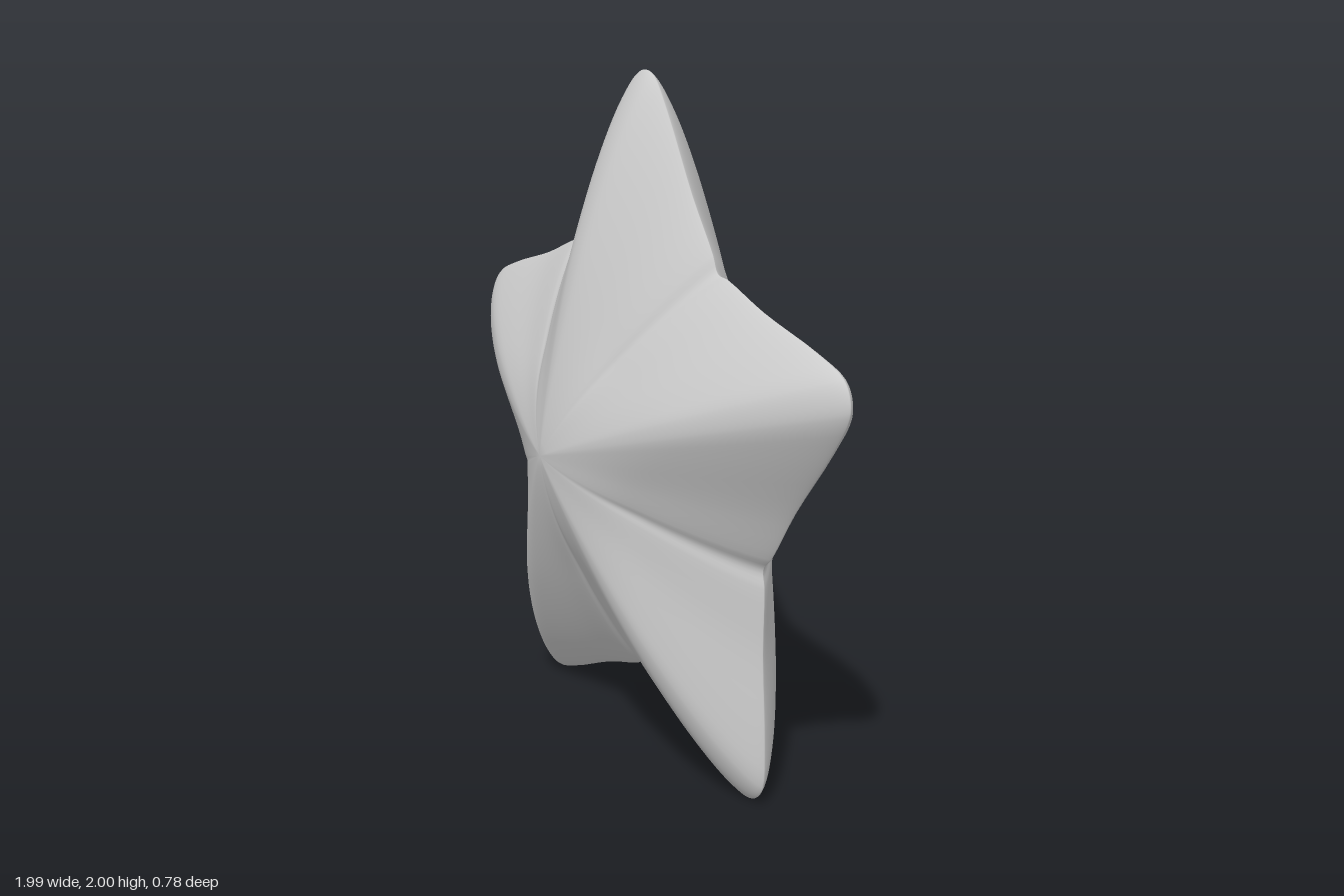
import * as THREE from 'three';
import { mergeVertices } from 'three/addons/utils/BufferGeometryUtils.js';

const ARMS = 5, COLUMNS = 200, ROWS = 72, HALF_DEPTH = 0.35, CORE_RADIUS = 0.9;

// Rounded star outline, counter-clockwise, starting at the upper arm.
// Each arm is given as [along the arm, to its side] and mirrored.
function starOutline() {
  const half = [[0.562, 0.408], [0.61, 0.382], [0.76, 0.27], [0.98, 0.13], [1.08, 0.05], [1.095, 0]];
  const arm = [
    ...half.map(([a, s]) => [a, -s]),
    ...half.slice(1, -1).reverse(),
  ];
  const points = [];
  for (let k = 0; k < ARMS; k++) {
    const angle = Math.PI / 2 + (k * 2 * Math.PI) / ARMS;
    const c = Math.cos(angle), s = Math.sin(angle);
    for (const [a, b] of arm) points.push(new THREE.Vector3(a * c - b * s, a * s + b * c, 0));
  }
  return new THREE.CatmullRomCurve3(points, true, 'centripetal').getPoints(COLUMNS);
}

// Sphere grid reshaped into a puffy star: rows run front centre -> rim -> back centre.
function puffyStar() {
  const outline = starOutline();
  const geometry = new THREE.SphereGeometry(1, COLUMNS, ROWS);
  const position = geometry.attributes.position;
  for (let i = 0; i < position.count; i++) {
    const column = i % (COLUMNS + 1), row = Math.floor(i / (COLUMNS + 1));
    const p = outline[column % COLUMNS];
    const radius = p.length();
    const t = row === 0 || row === ROWS ? 0 : Math.sin((row / ROWS) * Math.PI);
    // star sections soften towards a circle near the centre
    const star = 0.35 + 0.65 * THREE.MathUtils.smoothstep(t, 0, 0.55);
    const r = t * THREE.MathUtils.lerp(CORE_RADIUS, radius, star);
    // arms are fuller at the rim than the valleys between them
    const valley = THREE.MathUtils.clamp((1.095 - radius) / 0.4, 0, 1);
    const power = 0.77 + 0.1 * valley;
    const z = HALF_DEPTH * Math.pow(Math.max(0, 1 - Math.pow(t, 1.35)), power);
    position.setXYZ(i, (p.x / radius) * r, (p.y / radius) * r, row <= ROWS / 2 ? z : -z);
  }
  geometry.deleteAttribute('uv');
  geometry.deleteAttribute('normal');
  const welded = mergeVertices(geometry, 1e-5);
  welded.computeVertexNormals();
  return welded;
}

export function createModel() {
  const group = new THREE.Group();
  group.name = 'star';
  const body = new THREE.Mesh(puffyStar(), new THREE.MeshStandardMaterial({ color: 0xcccccc }));
  body.name = 'starBody';
  body.position.y = 0.903;
  body.rotation.y = -0.32; // turned slightly about the upright axis
  group.add(body);
  return group;
}
